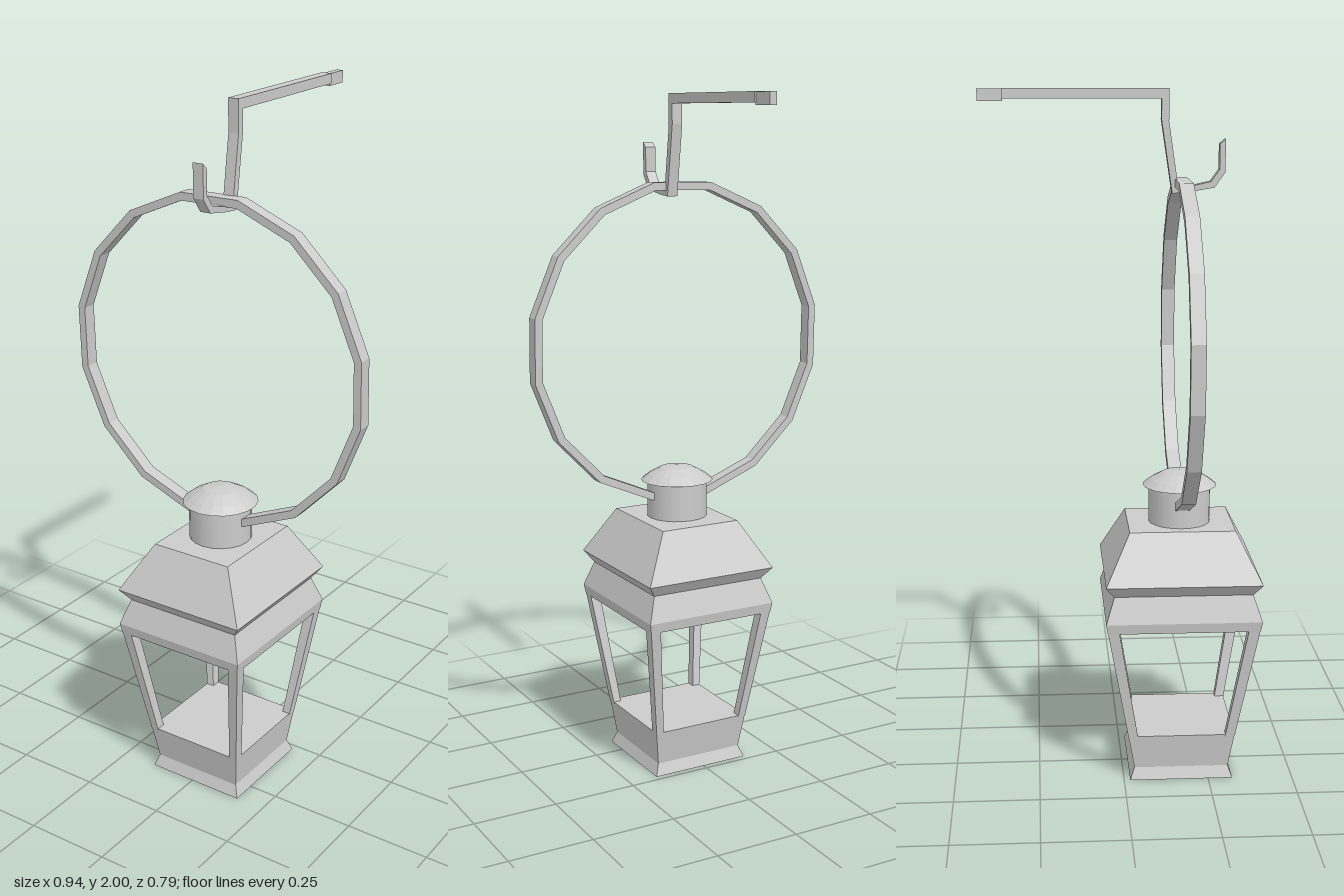
import * as THREE from 'three';

const CX = 0.01, CZ = 0.17; // lantern axis
const mat = new THREE.MeshStandardMaterial({ color: 0xcccccc, flatShading: true, side: THREE.DoubleSide });
const smoothMat = new THREE.MeshStandardMaterial({ color: 0xcccccc, side: THREE.DoubleSide });

function add(parent, name, geometry, material = mat) {
  const mesh = new THREE.Mesh(geometry, material);
  mesh.name = name;
  parent.add(mesh);
  return mesh;
}

// Closed solid through rectangles [y, halfX, halfZ, offsetX, offsetZ], bottom to top
function loft(sections) {
  const pos = [];
  const rings = sections.map(([y, hx, hz, ox = 0, oz = 0]) =>
    [[-1, 1], [1, 1], [1, -1], [-1, -1]].map(([sx, sz]) => [ox + sx * hx, y, oz + sz * hz]));
  const quad = (a, b, c, d) => pos.push(...a, ...b, ...c, ...a, ...c, ...d);
  for (let i = 0; i < rings.length - 1; i++) {
    for (let k = 0; k < 4; k++) {
      const n = (k + 1) % 4;
      quad(rings[i][k], rings[i][n], rings[i + 1][n], rings[i + 1][k]);
    }
  }
  const top = rings[rings.length - 1];
  quad(...top);
  quad(...rings[0].slice().reverse());
  const g = new THREE.BufferGeometry();
  g.setAttribute('position', new THREE.Float32BufferAttribute(pos, 3));
  g.computeVertexNormals();
  return g;
}

function polygon(radius, sides, turn) {
  return Array.from({ length: sides }, (_, i) => {
    const a = turn + (i / sides) * Math.PI * 2;
    return new THREE.Vector2(radius * Math.cos(a), radius * Math.sin(a));
  });
}

export function createModel() {
  const model = new THREE.Group();
  const lantern = new THREE.Group();
  lantern.name = 'lantern';
  lantern.position.set(CX, 0, CZ);
  model.add(lantern);

  // Flared foot and solid tray under the windows
  add(lantern, 'base', loft([[0, 0.152, 0.152], [0.035, 0.139, 0.139], [0.14, 0.153, 0.157]]));

  // Leaning corner posts
  for (const sx of [-1, 1]) for (const sz of [-1, 1]) {
    const t0 = 0.012, t1 = 0.0155;
    add(lantern, 'cornerPost', loft([
      [0.135, t0, t0 + 0.002, sx * (0.153 - t0), sz * (0.157 - t0 - 0.002)],
      [0.485, t1, t1 + 0.001, sx * (0.201 - t1), sz * (0.22 - t1 - 0.001)],
    ]));
  }

  // Upper band, waist groove and sloped roof
  add(lantern, 'roof', loft([
    [0.48, 0.201, 0.22], [0.51, 0.206, 0.225], [0.585, 0.18, 0.2],
    [0.62, 0.206, 0.225], [0.76, 0.125, 0.153],
  ]));

  // Chimney with domed cap
  add(lantern, 'chimney', new THREE.CylinderGeometry(0.09, 0.09, 0.12, 20), smoothMat).position.set(-0.004, 0.815, 0);
  const dome = [[0, 0.87], [0.108, 0.87], [0.085, 0.888], [0.048, 0.908], [0, 0.915]]
    .map(([r, y]) => new THREE.Vector2(r, y));
  add(lantern, 'chimneyCap', new THREE.LatheGeometry(dome, 18)).position.x = -0.004;

  // Sixteen-sided carrying ring
  const turn = Math.PI / 16 + 0.017;
  const ring = new THREE.Shape(polygon(0.476, 16, turn));
  ring.holes.push(new THREE.Path(polygon(0.453, 16, turn)));
  add(model, 'carryingRing', new THREE.ExtrudeGeometry(ring, { depth: 0.04, bevelEnabled: false }))
    .position.set(-0.002, 1.284, 0.151);

  // Hanging hook: side outline as (z, y), extruded across x
  const hook = new THREE.Shape([
    [-0.33, 2], [-0.33, 1.972], [0.112, 1.972], [0.112, 1.915], [0.143, 1.712], [0.19, 1.716],
    [0.262, 1.728], [0.292, 1.77], [0.292, 1.862], [0.276, 1.848], [0.276, 1.778],
    [0.252, 1.745], [0.19, 1.731], [0.16, 1.73], [0.133, 1.91], [0.133, 2],
  ].map(([z, y]) => new THREE.Vector2(z, y)));
  const hookGeo = new THREE.ExtrudeGeometry(hook, { depth: 0.032, bevelEnabled: false });
  add(model, 'hangingHook', hookGeo.rotateY(-Math.PI / 2)).position.x = 0.047;
  add(model, 'hookEnd', new THREE.BoxGeometry(0.021, 0.034, 0.07)).position.set(0.032, 1.982, -0.363);

  return model;
}
